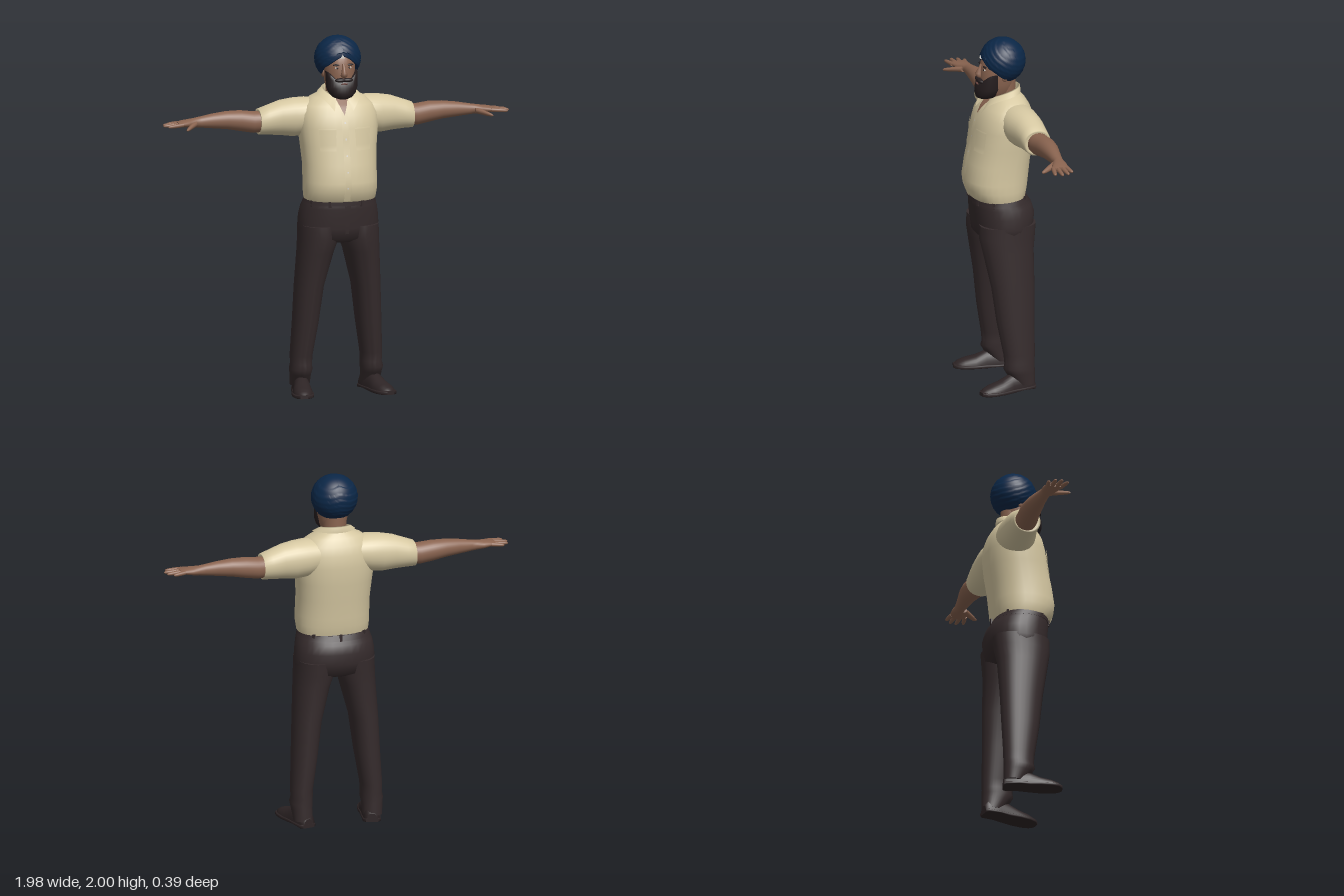
import * as THREE from 'three';

const N = 32;
const paint = (name, color) => {
  const m = new THREE.MeshStandardMaterial({ color, side: THREE.DoubleSide });
  m.name = name;
  return m;
};

// Superellipse sections along an axis; ring = [position, centre1, centre2, radius1, radius2]
function loft(axis, rings, p = 2, tweak) {
  const pos = [], idx = [];
  const sp = v => Math.sign(v) * Math.pow(Math.abs(v), 2 / p);
  const put = (a, u, v) => pos.push(...(axis === 'y' ? [u, a, v] : axis === 'x' ? [a, u, v] : [u, v, a]));
  const flip = axis === 'y' ? 1 : -1;
  const ring = ([a, c1, c2, r1, r2]) => {
    for (let j = 0; j < N; j++) {
      const t = j / N * Math.PI * 2;
      put(a, c1 + r1 * sp(Math.cos(t)), c2 + flip * r2 * sp(Math.sin(t)));
    }
  };
  rings.forEach(ring);
  for (let i = 0; i < rings.length - 1; i++) for (let j = 0; j < N; j++) {
    const a = i * N + j, b = i * N + (j + 1) % N;
    idx.push(a, a + N, b, b, a + N, b + N);
  }
  // end caps with their own corners, so the rims stay sharp
  [rings[0], rings[rings.length - 1]].forEach((r, e) => {
    const s = pos.length / 3;
    ring(r);
    put(r[0], r[1], r[2]);
    for (let j = 0; j < N; j++) {
      const a = s + j, b = s + (j + 1) % N;
      idx.push(s + N, e ? b : a, e ? a : b);
    }
  });
  const g = new THREE.BufferGeometry();
  g.setAttribute('position', new THREE.Float32BufferAttribute(pos, 3));
  g.setIndex(idx);
  return tweak ? bend(g, tweak) : (g.computeVertexNormals(), g);
}

// Move every vertex by a rule
function bend(g, rule) {
  const p = g.attributes.position, v = new THREE.Vector3();
  for (let k = 0; k < p.count; k++) {
    rule(v.fromBufferAttribute(p, k), k);
    p.setXYZ(k, v.x, v.y, v.z);
  }
  g.computeVertexNormals();
  return g;
}

function mirrored(g) {
  const m = g.clone().scale(-1, 1, 1), ix = m.index;
  for (let i = 0; i < ix.count; i += 3) {
    const a = ix.getX(i);
    ix.setX(i, ix.getX(i + 1));
    ix.setX(i + 1, a);
  }
  return m;
}

// [y, half width, front z, back z] to a loft ring
const body = rows => rows.map(([y, rx, f, b]) => [y, 0, (f + b) / 2, rx, (f - b) / 2]);

// Thin cloth patch lying on the front of a lofted body
function patch(rings, p, x, y0, y1, w0, w1, lift) {
  const g = new THREE.PlaneGeometry(1, 1, 8, 10);
  return bend(g, v => {
    const k = v.y + 0.5, y = y0 + (y1 - y0) * k;
    v.x = x + v.x * (w0 + (w1 - w0) * k);
    let i = 0;
    while (i < rings.length - 2 && rings[i + 1][0] < y) i++;
    const a = rings[i], b = rings[i + 1], t = (y - a[0]) / (b[0] - a[0]);
    const [, , c, rx, rz] = a.map((n, q) => n + (b[q] - n) * t);
    v.y = y;
    v.z = c + rz * Math.pow(Math.max(0, 1 - Math.pow(Math.abs(v.x) / rx, p)), 1 / p) + lift;
  });
}

export function createModel() {
  const root = new THREE.Group();
  const skin = paint('skin', 0x8a6450), shirt = paint('shirt cream', 0xd6c8a2);
  const cloth = paint('trouser brown', 0x352b2c), leather = paint('shoe leather', 0x2d2425);
  const navy = paint('turban navy', 0x0b2747), hair = paint('beard hair', 0x261e1f);
  const white = paint('white', 0xd8d4cc), lip = paint('lip', 0x6b4640);
  const add = (name, g, m) => {
    const mesh = new THREE.Mesh(g, m);
    mesh.name = name;
    root.add(mesh);
  };
  const pair = (name, g, m) => {
    add(name + 'Left', g, m);
    add(name + 'Right', mirrored(g), m);
  };
  const blob = (x, y, z, rx, ry, rz) => new THREE.SphereGeometry(1, 16, 12).scale(rx, ry, rz).translate(x, y, z);

  // Shirt
  const torso = body([[1.085, .19, .15, -.133], [1.1, .2, .168, -.14], [1.15, .206, .189, -.15],
    [1.2, .206, .195, -.156], [1.3, .206, .18, -.167], [1.4, .214, .156, -.182], [1.5, .225, .14, -.19],
    [1.57, .222, .12, -.184], [1.62, .2, .09, -.166], [1.66, .15, .05, -.142], [1.69, .08, .02, -.115]]);
  add('shirtBody', loft('y', torso, 2.3), shirt);
  pair('sleeve', loft('x', [[.08, 1.56, -.06, .09, .1], [.18, 1.55, -.066, .106, .108], [.25, 1.545, -.073, .107, .1],
    [.32, 1.543, -.08, .097, .09], [.39, 1.533, -.084, .082, .082], [.44, 1.525, -.085, .072, .078],
    [.436, 1.525, -.085, .06, .066]], 2.1), shirt);
  add('placket', patch(torso, 2.3, 0, 1.1, 1.59, .036, .036, .004), shirt);
  for (const s of [-1, 1]) {
    add('chestPocket', patch(torso, 2.3, s * .1, 1.38, 1.49, .085, .09, .004), shirt);
    add('pocketFlap', patch(torso, 2.3, s * .1, 1.47, 1.505, .092, .095, .007), shirt);
  }
  for (let i = 0; i < 5; i++) add('button', patch(torso, 2.3, 0, 1.17 + i * .09, 1.179 + i * .09, .009, .009, .007), white);
  add('openNeck', patch(torso, 2.3, 0, 1.575, 1.66, .002, .07, .006), skin);

  // Folded collar, swept round the neck from tip to tip
  const collar = new THREE.PlaneGeometry(2, 1, 40, 3);
  add('collar', bend(collar, v => {
    const u = v.x, f = u * 2.78, s = Math.sin(f), c = -Math.cos(f), row = Math.round((.5 - v.y) * 3);
    const u4 = u ** 4, top = 1.725 - .06 * u * u;
    if (row === 0) v.set(s * .078, top - .05, -.03 + c * .083);
    else if (row === 1) v.set(s * .079, top, -.03 + c * .085);
    else if (row === 2) v.set(s * .088, top - .003, -.03 + c * .094);
    else v.set(s * .117 + Math.sign(u) * .012 * u4, 1.69 - .095 * u4, -.02 + c * (c > 0 ? .142 : .106));
  }), shirt);

  // Trousers
  const hips = body([[.855, .17, .09, -.12], [.88, .222, .138, -.172], [.94, .226, .146, -.186], [1, .222, .152, -.19],
    [1.05, .213, .156, -.175], [1.085, .2, .157, -.148], [1.125, .188, .145, -.13]]);
  add('hips', loft('y', hips, 2.3), cloth);
  add('waistband', loft('y', body([[1.07, .207, .16, -.16], [1.1, .198, .16, -.145]]), 2.3), cloth);
  add('fly', patch(hips, 2.3, .008, .91, 1.07, .02, .034, .004), cloth);
  for (const a of [.5, 1.1, 2.04, 2.64, 3.9, 4.71, 5.5])
    add('beltLoop', new THREE.BoxGeometry(.014, .045, .01).rotateY(Math.PI / 2 - a)
      .translate(.203 * Math.cos(a), 1.085, .005 + .16 * Math.sin(a)), cloth);
  const leg = [[.035, .2, -.09, .054, .055], [.1, .203, -.067, .057, .078], [.13, .203, -.058, .062, .086],
    [.16, .2, -.062, .058, .083], [.21, .2, -.06, .06, .086], [.4, .18, -.045, .07, .105], [.6, .163, -.035, .078, .12],
    [.8, .131, -.018, .098, .142], [.88, .114, -.016, .111, .156], [.95, .11, -.018, .113, .16]];
  pair('trouserLeg', loft('y', leg, 2.2, (v, k) => {
    if (k < leg.length * N && k % N === N / 4 && v.y < .93) v.z += .008;
  }), cloth);

  // Shoes, turned slightly outward
  const last = [[-.085, .03, .05], [-.07, .045, .085], [0, .05, .1], [.06, .05, .093], [.12, .057, .066],
    [.18, .055, .052], [.22, .042, .038], [.24, .016, .02]];
  const place = g => g.rotateY(.2).translate(.2, 0, -.06);
  pair('shoe', place(loft('z', last.map(([z, x, y]) => [z, 0, 0, x, y]), 2.2, v => { v.y = Math.max(.008, v.y); })), leather);
  pair('sole', place(loft('z', last.map(([z, x]) => [z * 1.015, 0, .009, x + .005, .012]), 4, v => {
    v.y = Math.max(v.z > -.02 && v.z < .04 ? .007 : 0, v.y);
  })), leather);

  // Forearms and hands
  pair('forearm', loft('x', [[.4, 1.524, -.088, .058, .06], [.47, 1.523, -.093, .06, .06], [.54, 1.533, -.099, .058, .057],
    [.62, 1.54, -.098, .05, .05], [.7, 1.54, -.094, .041, .039], [.77, 1.538, -.09, .031, .031],
    [.8, 1.537, -.088, .027, .03], [.84, 1.536, -.08, .023, .042], [.88, 1.537, -.07, .018, .048],
    [.91, 1.536, -.066, .012, .045]], 2.1), skin);
  [[-.104, -.118, .955], [-.08, -.088, .985], [-.054, -.052, .992], [-.03, -.014, .975]].forEach(([z0, z1, tip], i) => {
    const ring = (t, r) => [.885 + (tip - .885) * t, 1.536 - .006 * t, z0 + (z1 - z0) * t, r, r * 1.1];
    pair('finger' + (i + 1), loft('x', [ring(0, .012), ring(.4, .0115), ring(.8, .0095), ring(.94, .007), ring(1, .002)]), skin);
  });
  pair('thumb', loft('x', [[.8, 1.532, -.07, .016, .024], [.832, 1.526, -.035, .015, .026], [.855, 1.52, -.004, .012, .021],
    [.872, 1.516, .018, .009, .015], [.88, 1.515, .026, .003, .005]]), skin);

  // Neck, head and face
  add('neck', loft('y', body([[1.58, .066, .07, -.1], [1.66, .065, .045, -.1], [1.72, .066, .045, -.1], [1.8, .066, .04, -.1]])), skin);
  add('head', loft('y', body([[1.665, .045, .08, -.05], [1.7, .07, .1, -.08], [1.75, .081, .107, -.088], [1.8, .086, .107, -.09],
    [1.85, .086, .101, -.09], [1.89, .08, .09, -.08], [1.93, .06, .06, -.06]]), 2.1), skin);
  add('nose', loft('y', [[1.785, 0, .106, .012, .012], [1.795, 0, .11, .02, .019], [1.81, 0, .112, .016, .02],
    [1.835, 0, .104, .01, .014], [1.86, 0, .096, .008, .008]]), skin);
  pair('eye', blob(.034, 1.836, .09, .014, .006, .006), white);
  pair('pupil', blob(.034, 1.836, .0945, .006, .006, .004), hair);
  pair('eyebrow', blob(.036, 1.853, .089, .023, .006, .009).rotateZ(0), hair);
  pair('ear', blob(.088, 1.8, -.012, .01, .028, .018), skin);
  add('beard', loft('y', body([[1.662, .03, .11, .04], [1.672, .055, .127, .015], [1.695, .076, .133, 0], [1.725, .087, .13, -.01],
    [1.75, .09, .122, -.012], [1.772, .09, .109, -.012]]), 2.1, v => {
    if (v.y > 1.74) v.y += .045 * Math.max(0, Math.abs(v.x) / .09 - .5) * 2;
  }), hair);
  pair('moustache', blob(.02, 1.77, .108, .032, .012, .018), hair);
  add('mouth', blob(0, 1.75, .121, .02, .005, .007), lip);

  // Turban: a tilted, open-bottomed dome with wrapped folds meeting at the brow
  const profile = [new THREE.Vector2(.07, -.05)];
  for (let i = 0; i <= 44; i++) {
    const t = 2.24 * (1 - i / 44);
    profile.push(new THREE.Vector2(Math.max(1e-4, .127 * Math.sin(t)), .127 * Math.cos(t)));
  }
  const turban = new THREE.LatheGeometry(profile, 64).rotateX(-.66);
  add('turban', bend(turban, v => {
    const front = Math.max(0, v.z / .127);
    const wave = (v.y + (v.z > 0 ? .75 : .3) * Math.abs(v.x) - .35 * v.z) / .03;
    const fold = wave - Math.floor(wave);
    v.multiplyScalar(1 + .022 * (fold - .5));
    if (v.y < .03) v.y += .03 * front * Math.max(0, 1 - Math.abs(v.x) / .075);
    v.x *= 1.02;
    v.y += 1.873;
    v.z -= .027;
  }), navy);
  const tri = new THREE.Shape([new THREE.Vector2(-.016, -.01), new THREE.Vector2(.01, -.008), new THREE.Vector2(-.002, .012)]);
  add('underTurban', new THREE.ExtrudeGeometry(tri, { depth: .008, bevelEnabled: false }).translate(-.003, 1.9, .096), white);
  return root;
}
